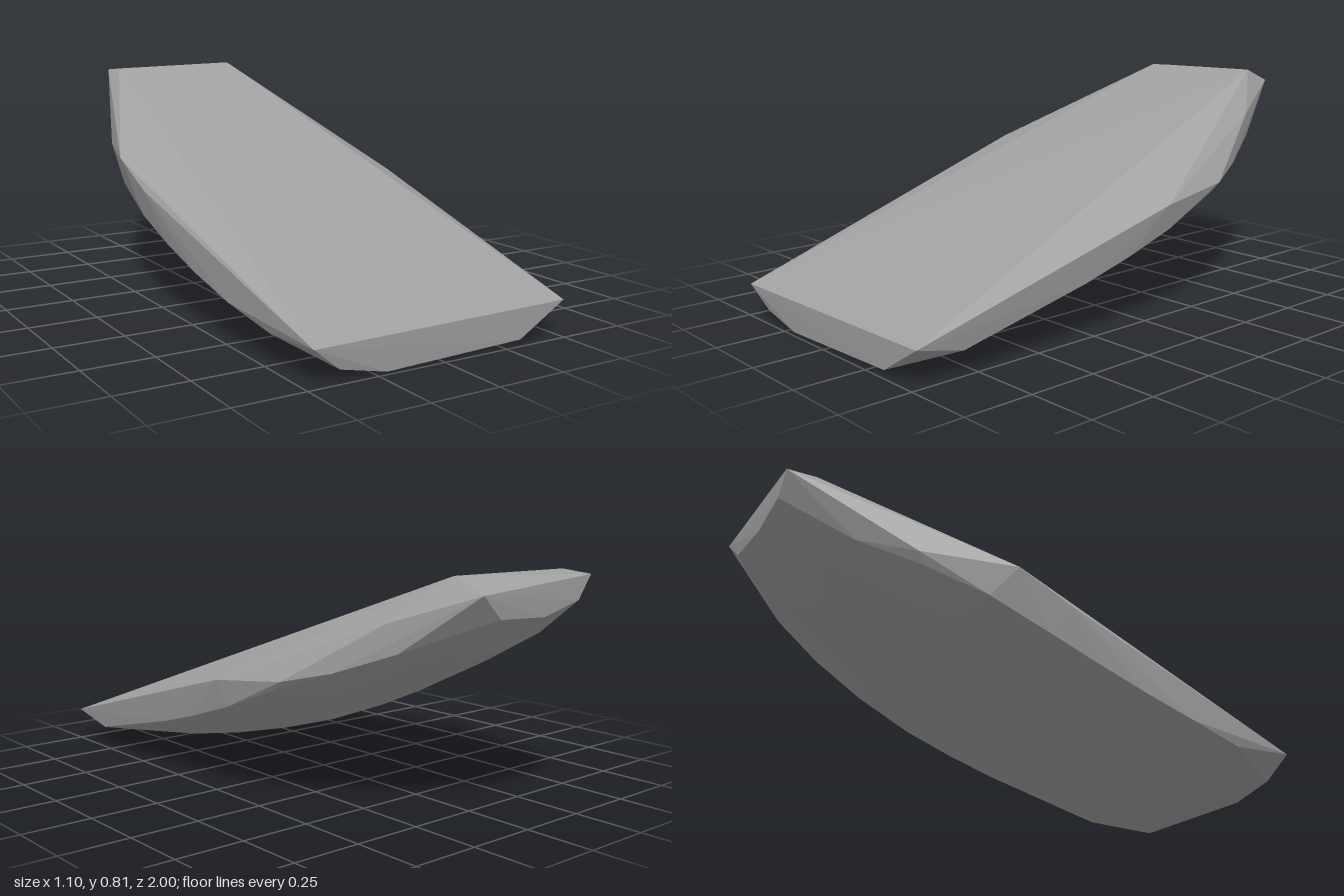
import * as THREE from 'three';
import { ConvexGeometry } from 'three/addons/geometries/ConvexGeometry.js';

export function createModel() {
  const group = new THREE.Group();
  const stone = new THREE.MeshStandardMaterial({ color: 0xa0a0a0, flatShading: true });
  const points = [];
  const add = (x, y, z) => points.push(new THREE.Vector3(x, y, z));

  // Flat sloping top and its side corners
  add(-0.48, 0.12, 1.0);
  add(0.505, 0.125, 0.985);
  add(-0.285, 0.805, -0.88);
  add(0.235, 0.815, -0.88);
  add(-0.55, 0.52, -0.24);
  add(-0.55, 0.43, -0.03);
  add(0.545, 0.415, -0.07);
  add(0.51, 0.45, -0.38);
  add(0.36, 0.665, -0.72);
  add(-0.45, 0.53, -0.57);

  // Blunt high end
  add(-0.29, 0.795, -0.99);
  add(0.235, 0.765, -1.0);
  add(-0.23, 0.715, -0.99);
  add(-0.06, 0.675, -0.99);
  add(0.145, 0.685, -0.99);

  // Blunt low end
  add(-0.38, 0.04, 0.985);
  add(-0.21, 0.003, 0.985);
  add(0.325, 0.015, 0.98);
  add(0.495, 0.08, 0.8);

  // Curved underside: rows of [z, keel height, half width], staggered for irregular facets
  const rows = [
    [0.75, 0.004, 0.48], [0.52, 0.04, 0.505], [0.3, 0.088, 0.515], [0.1, 0.143, 0.52],
    [-0.1, 0.208, 0.52], [-0.33, 0.306, 0.5], [-0.55, 0.413, 0.435], [-0.75, 0.522, 0.34],
  ];
  rows.forEach(([z, keel, half], r) => {
    const n = 6 + (r % 2);
    for (let i = 0; i <= n; i++) {
      const x = half * (2 * i / n - 1);
      const shift = i > 0 && i < n ? 0.05 * Math.sin(i * 2.4 + r * 1.7) : 0;
      // Follow the keel slope when a point is shifted along the length
      const next = rows[Math.min(r + 1, 7)], prev = rows[Math.max(r - 1, 0)];
      const slope = (next[1] - prev[1]) / (next[0] - prev[0]);
      add(x, Math.max(0, keel + slope * shift + 0.42 * x * x), z + shift);
    }
  });

  const slab = new THREE.Mesh(new ConvexGeometry(points), stone);
  slab.name = 'stoneSlab';
  group.add(slab);
  return group;
}
